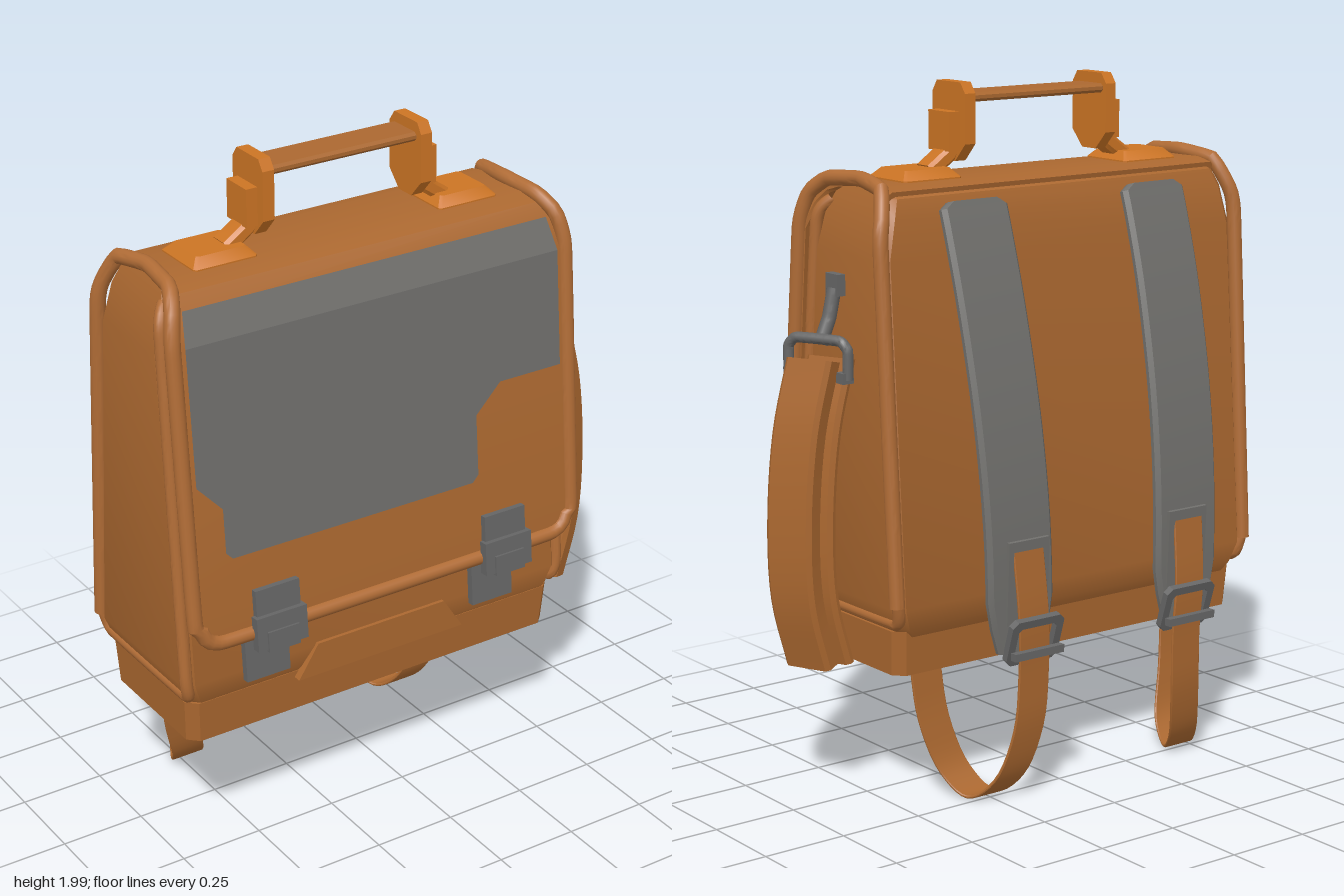
import * as THREE from 'three';
import { toCreasedNormals } from 'three/addons/utils/BufferGeometryUtils.js';

const V = (x, y, z) => new THREE.Vector3(x, y, z);
const X = V(1, 0, 0);

// Rectangle outline with chamfered corners
function rect(w, h, c) {
  const a = w / 2, b = h / 2;
  return [[a, c - b], [a, b - c], [a - c, b], [c - a, b], [-a, b - c], [-a, c - b], [c - a, -b], [a - c, -b]];
}

// Closed solid skinned over rings of equal point count, turned outward
function loft(rings) {
  const n = rings[0].length, pos = [], idx = [];
  rings.forEach(r => r.forEach(p => pos.push(p.x, p.y, p.z)));
  for (let i = 0; i < rings.length - 1; i++) for (let j = 0; j < n; j++) {
    const a = i * n + j, b = i * n + (j + 1) % n;
    idx.push(a, b, b + n, a, b + n, a + n);
  }
  const e = (rings.length - 1) * n;
  for (let j = 1; j < n - 1; j++) idx.push(0, j + 1, j, e, e + j, e + j + 1);
  const P = i => V(pos[3 * i], pos[3 * i + 1], pos[3 * i + 2]);
  let vol = 0;
  for (let i = 0; i < idx.length; i += 3) vol += P(idx[i]).dot(P(idx[i + 1]).cross(P(idx[i + 2])));
  if (vol < 0) idx.reverse();
  const g = new THREE.BufferGeometry();
  g.setAttribute('position', new THREE.Float32BufferAttribute(pos, 3));
  g.setIndex(idx);
  g.computeVertexNormals();
  return g;
}

// Band of given width (number or list) and thickness along a path
function ribbon(path, width, t, c = t * 0.3, dir = X) {
  return loft(path.map((p, i) => {
    const tan = path[Math.min(i + 1, path.length - 1)].clone().sub(path[Math.max(i - 1, 0)]);
    const n = tan.cross(dir).normalize();
    const w = Array.isArray(width) ? width[i] : width;
    return rect(w, t, c).map(([a, b]) => p.clone().addScaledVector(dir, a).addScaledVector(n, b));
  }));
}

const smooth = (pts, n) => new THREE.CatmullRomCurve3(pts).getPoints(n);
const box = (w, h, d, x, y, z, rx = 0) => new THREE.BoxGeometry(w, h, d).rotateX(rx).translate(x, y, z);
const tube = (pts, r, n = 120) =>
  new THREE.TubeGeometry(new THREE.CatmullRomCurve3(pts, false, 'catmullrom', 0.15), n, r, 14);
const shapeOf = pts => new THREE.Shape(pts.map(([a, b]) => new THREE.Vector2(a, b)));

// Flat frame: outer outline with a smaller one cut out
function frame(w, h, d, bar) {
  const s = shapeOf(rect(w, h, bar * 0.7));
  s.holes.push(shapeOf(rect(w - 2 * bar, h - 2 * bar, bar * 0.4)));
  return new THREE.ExtrudeGeometry(s, { depth: d, bevelEnabled: false }).translate(0, 0, -d / 2);
}

export function createModel() {
  const material = (name, color) => Object.assign(new THREE.MeshStandardMaterial({ color }), { name });
  const leather = material('brown leather', 0xab6830);
  const trim = material('leather piping', 0xb06c36);
  const orange = material('orange handle', 0xcb7424);
  const grey = material('grey fabric', 0x706f6c);
  const metal = material('dark grey metal', 0x666666);

  const root = new THREE.Group();
  root.name = 'satchel';
  const bag = new THREE.Group();
  bag.name = 'bag';
  bag.position.x = -0.105;
  root.add(bag);
  const add = (name, geo, mat, parent = bag) => {
    const m = new THREE.Mesh(toCreasedNormals(geo, 0.55), mat);
    m.name = name;
    parent.add(m);
    return m;
  };

  // Tapered body: half width, front z, back z at each height
  const section = ([y, hw, zf, zb]) =>
    rect(hw * 2, zf - zb, 0.03).map(([a, b]) => V(a, y, b + (zf + zb) / 2));
  add('body', loft([
    [0.5, 0.6, 0.26, -0.18], [0.53, 0.62, 0.275, -0.195], [0.59, 0.64, 0.285, -0.208],
    [1.55, 0.635, 0.2, -0.14], [1.66, 0.61, 0.19, -0.128], [1.71, 0.59, 0.17, -0.11], [1.732, 0.58, 0.13, -0.07],
  ].map(section)), leather);
  add('base', loft([[0.39, 0.615, 0.262, -0.172], [0.52, 0.622, 0.272, -0.182]].map(section)), leather);
  const bump = new THREE.ExtrudeGeometry(
    shapeOf([[-0.28, 0.5], [0.28, 0.5], [0.215, 0.6], [-0.215, 0.6]]), { depth: 0.05, bevelEnabled: false });
  add('baseTab', bump.translate(0, 0, 0.245), leather);
  for (const s of [-1, 1]) add('basePad', box(0.22, 0.02, 0.25, s * 0.42, 0.385, 0.045), leather);

  // Flap wrapping from the top edge down the front
  const flap = [[-0.1, 1.715], [-0.05, 1.727], [0.14, 1.727], [0.19, 1.712], [0.222, 1.675], [0.253, 1.6],
    [0.325, 0.8], [0.331, 0.73]];
  add('flap', ribbon(flap.map(([z, y]) => V(0, y, z)),
    [1.16, 1.16, 1.16, 1.18, 1.22, 1.27, 1.27, 1.12], 0.028), leather);

  // Piping runs from the back corners over the top and round the flap
  const half = [[0.635, 0.6, -0.2], [0.635, 1.58, -0.138], [0.622, 1.66, -0.125], [0.595, 1.735, -0.085],
    [0.575, 1.752, 0.04], [0.59, 1.742, 0.18], [0.615, 1.7, 0.235], [0.632, 1.6, 0.262],
    [0.632, 0.82, 0.332], [0.615, 0.79, 0.335], [0.55, 0.742, 0.34]];
  const left = half.map(([x, y, z]) => V(x, y, z));
  const right = half.map(([x, y, z]) => V(-x, y, z)).reverse();
  add('flapPiping', tube([...left, ...right], 0.022, 260), trim);
  for (const s of [-1, 1]) {
    add('sidePiping', tube([[0.59, 1.69, 0.15], [0.625, 1.62, 0.187], [0.632, 0.62, 0.272], [0.618, 0.545, 0.25],
      [0.618, 0.545, -0.175], [0.635, 0.62, -0.2]].map(([x, y, z]) => V(s * x, y, z)), 0.018), trim);
  }

  // Grey panel lying on the flap, bent where the flap curves back
  const zPanel = y => (y > 1.6 ? 0.272 - (y - 1.6) * 0.43 : 0.272 + (1.6 - y) * 0.09);
  const panels = [
    [[-0.6, 1.6], [-0.6, 1.21], [-0.525, 1.13], [-0.525, 1.0], [-0.505, 0.98], [0.285, 0.98], [0.305, 1.0],
      [0.305, 1.18], [0.39, 1.26], [0.6, 1.26], [0.6, 1.6]],
    [[-0.6, 1.6], [0.6, 1.6], [0.585, 1.69], [-0.585, 1.69]],
  ];
  for (const pts of panels) {
    const g = new THREE.ShapeGeometry(shapeOf(pts)), p = g.attributes.position;
    for (let i = 0; i < p.count; i++) p.setZ(i, zPanel(p.getY(i)));
    g.computeVertexNormals();
    add('flapPanel', g, grey);
  }

  // Clasps on the flap's lower edge
  for (const s of [-1, 1]) {
    const x = s * 0.382, tilt = -0.09;
    add('claspTop', box(0.14, 0.12, 0.02, x, 0.81, 0.347, tilt), metal);
    add('claspBody', box(0.16, 0.1, 0.028, x, 0.745, 0.364, tilt), metal);
    add('claspLatch', box(0.1, 0.06, 0.02, x, 0.72, 0.377, tilt), metal);
    add('claspTongue', box(0.14, 0.15, 0.022, x - 0.008, 0.64, 0.297, tilt), metal);
  }

  // Carrying handle
  for (const s of [-1, 1]) {
    const side = new THREE.Group();
    side.name = 'handleSide';
    bag.add(side);
    const post = shapeOf([[0.02, 1.78], [0.08, 1.78], [0.125, 1.83], [0.125, 1.97], [0.105, 2], [-0.005, 2],
      [-0.027, 1.97], [-0.027, 1.83]]);
    const g = new THREE.ExtrudeGeometry(post, { depth: 0.036, bevelEnabled: false });
    add('handlePost', g.rotateY(-Math.PI / 2).translate(s * 0.252 + 0.018, 0, 0), orange, side);
    add('handlePostBlock', box(0.04, 0.11, 0.1, s * 0.285, 1.865, 0.048), orange, side);
    add('handleFoot', ribbon([V(s * 0.26, 1.84, 0.048), V(s * 0.285, 1.8, 0.048), V(s * 0.35, 1.755, 0.048)],
      0.07, 0.045, 0.01, V(0, 0, 1)), orange, side);
    const ring = (y, w, d) => rect(w, d, 0.008).map(([a, b]) => V(s * 0.39 + a, y, 0.045 + b));
    add('handlePlate', loft([ring(1.72, 0.195, 0.18), ring(1.745, 0.195, 0.18), ring(1.77, 0.15, 0.13)]), orange, side);
  }
  add('handleBar', ribbon([V(-0.24, 1.957, 0.045), V(0.24, 1.957, 0.045)], 0.115, 0.026, 0.008, V(0, 0, 1)), leather);

  // Shoulder straps with patches, buckles and hanging webbing
  for (const s of [-1, 1]) {
    const strap = smooth([V(s * 0.32, 1.69, -0.125), V(s * 0.32, 1.6, -0.155), V(s * 0.318, 1.4, -0.212),
      V(s * 0.312, 1.1, -0.275), V(s * 0.305, 0.8, -0.31), V(s * 0.3, 0.45, -0.317)], 24);
    const widths = strap.map((p, i) => (i === 0 ? 0.17 : i === 24 ? 0.16 : i === 23 ? 0.2 : 0.225));
    add('shoulderStrap', ribbon(strap, widths, 0.036, 0.012), grey);
    add('strapPatch', box(0.14, 0.24, 0.012, s * 0.29, 0.65, -0.336, -0.05), grey);
    const web = smooth([V(s * 0.292, 0.74, -0.342), V(s * 0.286, 0.55, -0.36), V(s * 0.28, 0.4, -0.354),
      V(s * 0.29, 0.22, -0.342), V(s * 0.325, 0.07, -0.295), V(s * 0.365, 0.012, -0.222),
      V(s * 0.4, 0.07, -0.145), V(s * 0.445, 0.22, -0.105), V(s * 0.465, 0.4, -0.088)], 40);
    add('webbingLoop', ribbon(web, 0.105, 0.009), leather);
    add('buckle', frame(0.18, 0.14, 0.02, 0.024).rotateX(-0.3).translate(s * 0.28, 0.485, -0.352), metal);
    add('buckleBar', box(0.17, 0.022, 0.022, s * 0.28, 0.45, -0.372), metal);
  }

  // Folded strap hanging on the left side
  const dir = V(0.41, 0, 0.912);
  const hang = [[0.615, 1.27], [0.665, 1.07], [0.688, 0.82], [0.68, 0.6], [0.632, 0.41]];
  for (const [name, dx, t] of [['hangingStrapOuter', 0.022, 0.066], ['hangingStrapInner', -0.038, 0.036]]) {
    add(name, ribbon(smooth(hang.map(([x, y]) => V(x + dx, y, 0.035)), 20), 0.145, t, 0.012, dir), leather, root);
  }

  // Snap hook joining the strap to the bag
  const hook = new THREE.Group();
  hook.name = 'snapHook';
  root.add(hook);
  add('hookMount', box(0.025, 0.06, 0.06, 0.558, 1.47, 0.04), metal, hook);
  add('hookStem', tube([V(0.562, 1.46, 0.04), V(0.58, 1.38, 0.04), V(0.61, 1.31, 0.04)], 0.02, 16), metal, hook);
  const fork = [[-0.095, 1.22], [-0.095, 1.3], [-0.07, 1.325], [0.07, 1.325], [0.095, 1.3], [0.095, 1.22]];
  add('hookFork', tube(fork.map(([a, y]) => V(0.62 + a * dir.x, y, 0.037 + a * dir.z)), 0.015, 60), metal, hook);
  for (const a of [-0.085, 0.085]) {
    add('hookTip', box(0.035, 0.03, 0.035, 0.62 + a * dir.x, 1.225, 0.037 + a * dir.z), metal, hook);
  }
  return root;
}
